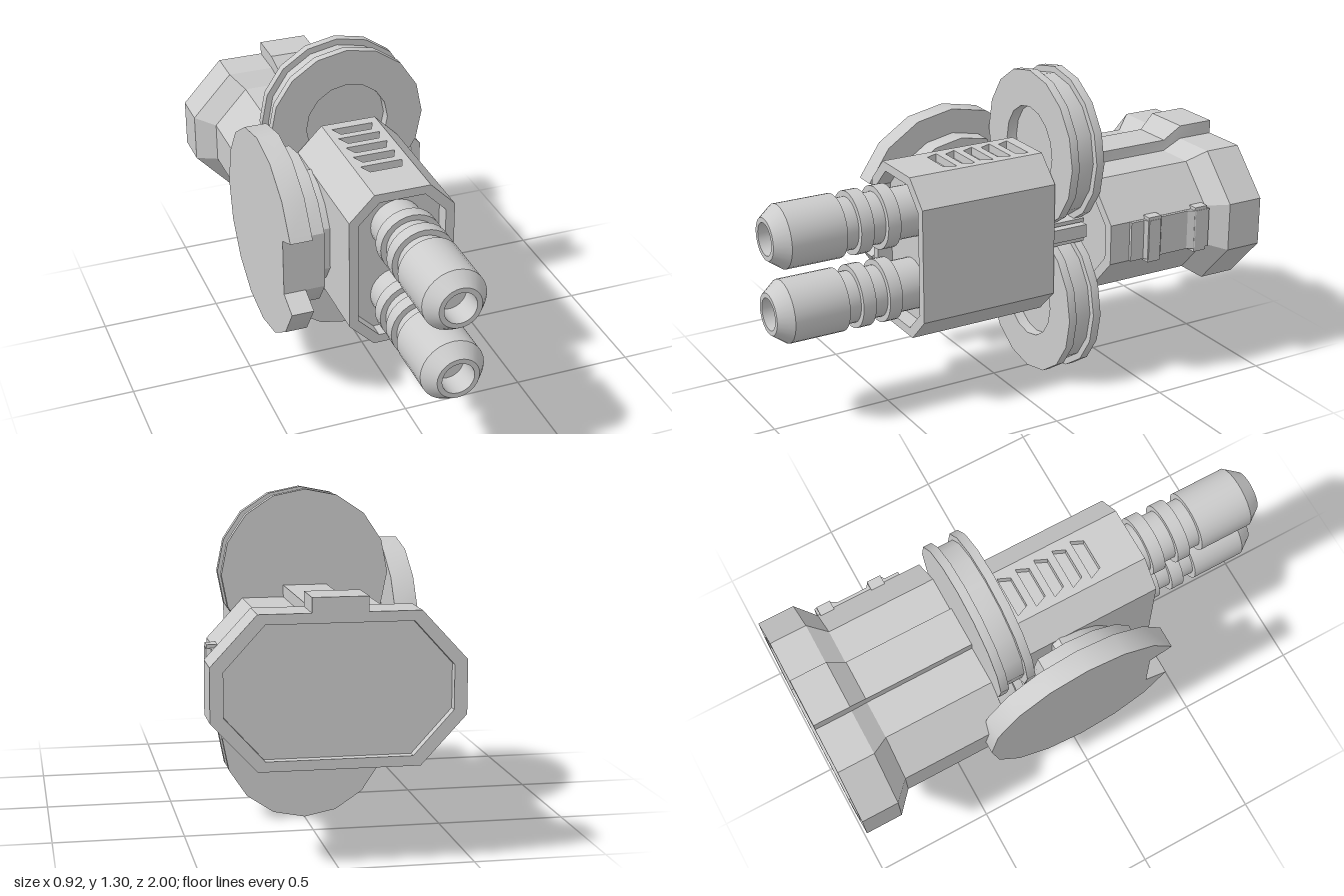
import * as THREE from 'three';
import { toCreasedNormals } from 'three/addons/utils/BufferGeometryUtils.js';

const MID = 0.653; // height of the main axis

export function createModel() {
  const root = new THREE.Group();
  root.name = 'twinBarrelTurret';
  const material = new THREE.MeshStandardMaterial({ color: 0xcccccc });

  const add = (name, geometry, x = 0, y = 0, z = 0) => {
    const mesh = new THREE.Mesh(toCreasedNormals(geometry, 0.48), material);
    mesh.name = name;
    mesh.position.set(x, y, z);
    root.add(mesh);
    return mesh;
  };
  const box = (name, w, h, d, x, y, z) => add(name, new THREE.BoxGeometry(w, h, d), x, y, z);
  const shapeOf = (pts, hole) => {
    const shape = new THREE.Shape(pts.map(p => new THREE.Vector2(...p)));
    if (hole) shape.holes.push(new THREE.Path(hole.map(p => new THREE.Vector2(...p))));
    return shape;
  };
  const extrude = (pts, depth, hole, steps = 1) =>
    new THREE.ExtrudeGeometry(shapeOf(pts, hole), { depth, steps, bevelEnabled: false });
  // Lathe whose axis points along +z
  const latheZ = (profile, sides) =>
    new THREE.LatheGeometry(profile.map(p => new THREE.Vector2(...p)), sides).rotateX(Math.PI / 2);
  // Chamfered rectangle: half width/height, and half lengths of the flat sides
  const octagon = (w, h, flatW, flatH) => [
    [w, -flatH], [w, flatH], [flatW, h], [-flatW, h],
    [-w, flatH], [-w, -flatH], [-flatW, -h], [flatW, -h]];

  // Front housing: core with a trough on top that the vent plate fills
  const outer = octagon(0.217, 0.338, 0.115, 0.235);
  const core = [...outer.slice(0, 3),
    [0.1, 0.338], [0.1, 0.305], [-0.1, 0.305], [-0.1, 0.338], ...outer.slice(3)];
  add('housingCore', extrude(core, 0.53), 0, MID, -0.155);
  add('housingFrontRim', extrude(outer, 0.065, octagon(0.18, 0.302, 0.093, 0.215)), 0, MID, 0.375);

  // Vent plate with five tapered slots
  const plate = shapeOf([[-0.1, -0.375], [0.1, -0.375], [0.1, 0.155], [-0.1, 0.155]]);
  for (let i = 0; i < 5; i++) {
    const z = -0.085 + i * 0.0815;
    plate.holes.push(new THREE.Path([
      [-0.087, -z + 0.025], [0.087, -z + 0.025], [0.065, -z - 0.025], [-0.065, -z - 0.025],
    ].map(p => new THREE.Vector2(...p))));
  }
  add('ventPlate',
    new THREE.ExtrudeGeometry(plate, { depth: 0.033, bevelEnabled: false }).rotateX(-Math.PI / 2),
    0, MID + 0.305, 0);
  box('recessBlock', 0.045, 0.06, 0.04, 0.158, 0.655, 0.39);

  // Two ringed barrels with an open bore
  const barrel = [
    [0.105, 0.36], [0.105, 0.485], [0.128, 0.485], [0.128, 0.54], [0.105, 0.54],
    [0.105, 0.6], [0.128, 0.6], [0.128, 0.655], [0.105, 0.655], [0.105, 0.712],
    [0.128, 0.712], [0.128, 0.942], [0.085, 1], [0.065, 1], [0.065, 0.9], [0, 0.9]];
  for (const [name, y] of [['upperBarrel', 0.809], ['lowerBarrel', 0.499]]) {
    add(name, latheZ(barrel, 28), 0, y, 0);
  }

  // Two grooved drums, recessed at the front
  const drum = [
    [0, -0.315], [0.326, -0.315], [0.326, -0.28], [0.3, -0.28], [0.3, -0.2],
    [0.326, -0.2], [0.326, -0.165], [0.175, -0.165], [0.175, -0.21], [0, -0.21]];
  for (const [name, y] of [['upperDrum', 0.977], ['lowerDrum', 0.329]]) {
    add(name, latheZ(drum, 16), 0, y, 0);
  }

  // Joint between the drums
  box('jointBlock', 0.4, 0.055, 0.17, 0, MID, -0.235);
  for (const s of [-1, 1]) box('jointPlate', 0.36, 0.016, 0.17, 0, MID + s * 0.042, -0.235);

  // Rear housing: one section with a raised spine, flared towards the back
  const base = octagon(0.385, 0.234, 0.245, 0.083);
  const section = [...base.slice(0, 3),
    [0.085, 0.234], [0.085, 0.28], [-0.085, 0.28], [-0.085, 0.234], ...base.slice(3)];
  const inset = octagon(0.345, 0.203, 0.222, 0.068);
  const loft = (name, rings, hole) => {
    const geometry = extrude(section, rings.length - 1, hole, rings.length - 1);
    const p = geometry.attributes.position;
    for (let i = 0; i < p.count; i++) {
      const [z, scale] = rings[Math.round(p.getZ(i))];
      p.setXYZ(i, p.getX(i) * scale, p.getY(i) * scale, z);
    }
    add(name, geometry, 0, MID, 0);
  };
  loft('rearHousing', [[-0.965, 1.2], [-0.845, 1.2], [-0.775, 1], [-0.34, 1]]);
  loft('rearRim', [[-1, 1.2], [-0.965, 1.2]], inset);
  loft('rearHousingFrontRim', [[-0.34, 1], [-0.315, 1]], inset);

  // Side clip: a thin strip with two chamfered pads
  const clip = [
    [0.37, 0.405], [0.398, 0.405], [0.398, 0.465], [0.416, 0.48], [0.416, 0.535],
    [0.398, 0.55], [0.398, 0.68], [0.416, 0.71], [0.416, 0.775], [0.37, 0.775]];
  add('sideClip', extrude(clip, 0.165).rotateX(-Math.PI / 2), 0, MID - 0.0825, 0);
  for (const z of [-0.507, -0.735]) box('clipPad', 0.042, 0.192, 0.06, 0.393, MID, z);

  // Stepped shield on the right side: sixteen-sided, open at the front corner
  const shield = (name, radius, xInner, depth, backLimit, notchRadius) => {
    const at = (r, k) => [
      Math.max(r * Math.cos(k * Math.PI / 8), backLimit), r * Math.sin(k * Math.PI / 8)];
    const pts = [];
    for (let k = 1; k <= 15; k++) pts.push(at(radius, k));
    if (notchRadius) pts.push(at(notchRadius, -1), at(notchRadius, 1));
    add(name, extrude(pts, depth).rotateY(-Math.PI / 2), xInner, MID, 0);
  };
  shield('shieldDisc', 0.422, -0.345, 0.09, -1, 0.318);
  shield('shieldStep', 0.318, -0.265, 0.08, -0.135);
  shield('shieldHub', 0.24, -0.215, 0.05, -0.03);

  return root;
}
